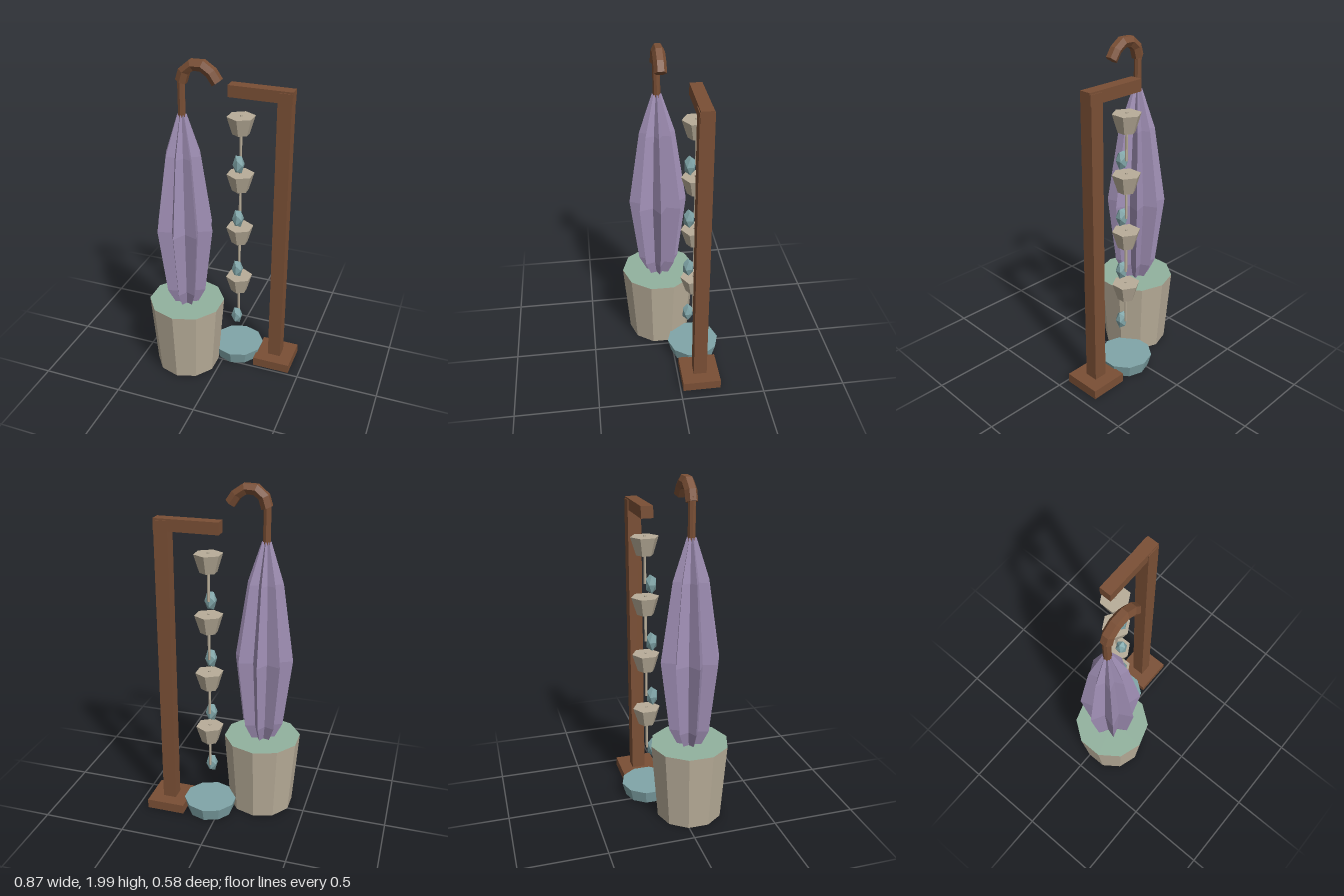
import * as THREE from 'three';

const mat = (name, color, extra = {}) => {
  const m = new THREE.MeshStandardMaterial({ color, flatShading: true, ...extra });
  m.name = name;
  return m;
};

export function createModel() {
  const root = new THREE.Group();
  root.name = 'umbrellaAndRainChain';
  const stone = mat('stone', 0xb8ad99);
  const moss = mat('paleGreen', 0x92b29e);
  const teal = mat('teal', 0x80a5a8);
  const wood = mat('wood', 0x7a4f35);
  const fabric = mat('purpleFabric', 0xa08fb5, { side: THREE.DoubleSide });

  const add = (parent, name, geo, material, x = 0, y = 0, z = 0) => {
    const m = new THREE.Mesh(geo, material);
    m.name = name;
    m.position.set(x, y, z);
    parent.add(m);
    return m;
  };
  // Upright prism standing at height y
  const prism = (parent, name, rTop, rBottom, h, sides, material, y) =>
    add(parent, name, new THREE.CylinderGeometry(rTop, rBottom, h, sides), material, 0, y + h / 2, 0);

  // Umbrella in its ten-sided pot
  const umbrella = new THREE.Group();
  umbrella.name = 'umbrella';
  umbrella.position.set(-0.215, 0, 0.057);
  root.add(umbrella);
  prism(umbrella, 'pot', 0.231, 0.195, 0.465, 10, [stone, moss, moss], 0);

  // Folded canopy: eight-pointed star rings, pleats alternate in radius
  const profile = [[0.462, 0.075], [0.56, 0.123], [0.98, 0.173], [1.44, 0.104], [1.675, 0.027]];
  const canopy = new THREE.CylinderGeometry(1, 1, 1, 16, profile.length - 1, true);
  const p = canopy.attributes.position;
  for (let i = 0; i < p.count; i++) {
    const row = profile.length - 1 - Math.floor(i / 17), k = i % 17;
    const [y, r] = profile[row];
    const a = k * Math.PI / 8, s = k % 2 ? r * 0.61 : r;
    p.setXYZ(i, Math.sin(a) * s, y, Math.cos(a) * s);
  }
  canopy.computeVertexNormals();
  add(umbrella, 'foldedCanopy', canopy, fabric);
  prism(umbrella, 'shaft', 0.022, 0.022, 0.24, 8, wood, 1.65);

  // Hooked handle with capped ends
  const path = new THREE.CatmullRomCurve3(
    [[0.002, 1.86], [0.028, 1.93], [0.095, 1.962], [0.16, 1.937], [0.207, 1.874]]
      .map(([x, y]) => new THREE.Vector3(x, y, 0)));
  add(umbrella, 'handle', new THREE.TubeGeometry(path, 5, 0.035, 6), wood);
  const frames = path.computeFrenetFrames(5);
  [0, 1].forEach((t) => {
    const i = t * 5, dir = frames.tangents[i].clone().multiplyScalar(t ? 1 : -1);
    const c = path.getPointAt(t);
    const cap = add(umbrella, 'handleEnd', new THREE.CircleGeometry(0.035, 6), wood, c.x, c.y, c.z);
    const up = frames.normals[i];
    cap.setRotationFromMatrix(new THREE.Matrix4().makeBasis(up, dir.clone().cross(up), dir));
  });

  // Rain chain: four cups, each with a rod and a faceted bead
  const chain = new THREE.Group();
  chain.name = 'rainChain';
  chain.position.set(0.062, 0, -0.128);
  root.add(chain);
  for (let i = 0; i < 4; i++) {
    const y = 0.35 * i;
    prism(chain, 'cup', 0.083, 0.05, 0.105, 6, stone, 0.48 + y);
    prism(chain, 'rod', 0.008, 0.008, 0.28, 6, stone, 0.31 + y + 0.002);
    add(chain, 'bead', new THREE.IcosahedronGeometry(0.036, 0), teal, 0, 0.307 + y, 0.035).scale.y = 1.7;
  }
  prism(chain, 'basin', 0.161, 0.14, 0.08, 10, teal, 0);

  // Stand
  const stand = new THREE.Group();
  stand.name = 'stand';
  root.add(stand);
  const box = (name, w, h, d, x, y, z) => add(stand, name, new THREE.BoxGeometry(w, h, d), wood, x, y, z);
  box('standFoot', 0.232, 0.057, 0.23, 0.319, 0.0285, -0.13);
  box('standPost', 0.08, 1.75, 0.08, 0.318, 0.93, -0.13);
  box('standArm', 0.37, 0.068, 0.07, 0.177, 1.781, -0.13);
  return root;
}
